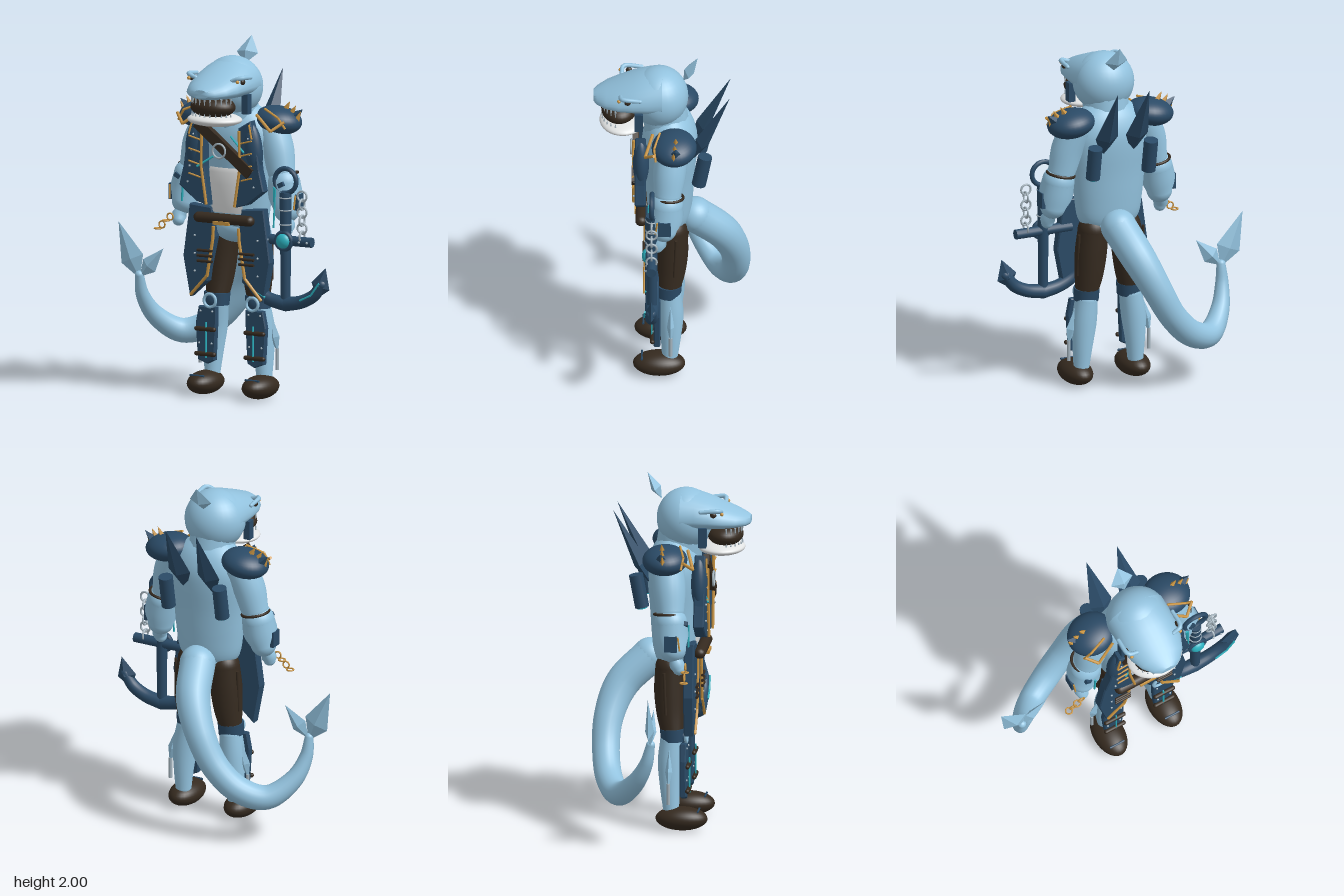
import * as THREE from 'three';
import { toCreasedNormals } from 'three/addons/utils/BufferGeometryUtils.js';

const V = (a) => new THREE.Vector3(...a);
const UP = new THREE.Vector3(0, 1, 0);

export function createModel() {
  const mat = (name, color) => Object.assign(new THREE.MeshStandardMaterial({ color }), { name });
  const skin = mat('pale blue', 0x93c3df), navy = mat('navy', 0x2a4a66), brown = mat('dark brown', 0x352a1f);
  const gold = mat('gold', 0xcb9643), white = mat('off white', 0xe2e4e4), teal = mat('teal', 0x2cb2c0);
  const silver = mat('silver', 0xa4b4be);

  const root = new THREE.Group();
  const body = new THREE.Group();
  body.name = 'body';
  body.position.x = 0.08;
  root.add(body);
  let target = body;

  const add = (name, geo, m, pos = [0, 0, 0], rot = [0, 0, 0]) => {
    const mesh = new THREE.Mesh(geo, m);
    mesh.name = name;
    mesh.position.set(...pos);
    mesh.rotation.set(...rot);
    target.add(mesh);
    return mesh;
  };
  const ball = (name, m, pos, r, rot) => add(name, new THREE.SphereGeometry(1, 32, 20).scale(...r), m, pos, rot);
  const box = (name, m, pos, size, rot) => add(name, new THREE.BoxGeometry(...size), m, pos, rot);
  const ring = (name, m, pos, R, t, rot) => add(name, new THREE.TorusGeometry(R, t, 8, 28), m, pos, rot);
  // Straight rod between two points
  const rod = (name, m, a, b, r0, r1 = r0, sides = 14) => {
    const d = V(b).sub(V(a)), mid = V(a).add(V(b)).multiplyScalar(0.5);
    const mesh = add(name, new THREE.CylinderGeometry(r1, r0, d.length(), sides), m, mid.toArray());
    mesh.quaternion.setFromUnitVectors(UP, d.normalize());
  };
  const trim = (name, m, pts, r) => pts.slice(1).forEach((p, i) => rod(name, m, pts[i], p, r, r, 6));
  // Four-sided fin, widest part way along
  const spike = (name, m, a, b, w, d, f = 0.3) => {
    const dir = V(b).sub(V(a)), L = dir.length();
    let g = new THREE.LatheGeometry([[0.001, 0], [1, f], [0.001, 1]].map((p) => new THREE.Vector2(...p)), 4);
    g = g.scale(w, L, d).toNonIndexed();
    g.computeVertexNormals();
    const mesh = add(name, g, m, a);
    mesh.quaternion.setFromUnitVectors(UP, dir.normalize());
  };
  // Tube whose radius follows its own curve
  const limb = (name, m, pts, radii, n = 24) => {
    const path = new THREE.CatmullRomCurve3(pts.map(V));
    const rad = new THREE.CatmullRomCurve3(radii.map((r) => V([r, 0, 0])), false, 'catmullrom');
    const g = new THREE.TubeGeometry(path, n, 1, 20), p = g.attributes.position, v = new THREE.Vector3();
    for (let i = 0; i < p.count; i++) {
      const u = Math.floor(i / 21) / n, c = path.getPointAt(u);
      v.fromBufferAttribute(p, i).sub(c).multiplyScalar(rad.getPoint(path.getUtoTmapping(u)).x).add(c);
      p.setXYZ(i, v.x, v.y, v.z);
    }
    add(name, g, m);
    [0, radii.length - 1].forEach((i) => ball(name + 'End', m, pts[i], [radii[i], radii[i], radii[i]]));
  };
  const plate = (name, m, pts, z, depth) => add(name, new THREE.ExtrudeGeometry(
    new THREE.Shape(pts.map((p) => new THREE.Vector2(...p))),
    { depth, bevelEnabled: true, bevelSize: 0.006, bevelThickness: 0.006, bevelSegments: 1 }), m, [0, 0, z]);

  // Torso, pelvis and belly panel
  const prof = [[0.001, 0.92], [0.13, 0.93], [0.18, 0.98], [0.2, 1.1], [0.215, 1.25], [0.235, 1.4], [0.23, 1.5], [0.18, 1.59], [0.1, 1.65]];
  add('torso', new THREE.LatheGeometry(new THREE.SplineCurve(prof.map((p) => new THREE.Vector2(...p))).getPoints(32), 36)
    .scale(1, 1, 0.65), skin, [0, 0, 0.01]);
  const bellyProf = [[0.197, 1.04], [0.215, 1.1], [0.226, 1.2], [0.228, 1.27], [0.215, 1.295]].map((p) => new THREE.Vector2(...p));
  add('belly', new THREE.LatheGeometry(bellyProf, 16, -0.5, 1).scale(1, 1, 0.65), white, [0, 0, 0.015]);
  ball('pelvis', skin, [0, 0.95, 0.01], [0.15, 0.09, 0.115]);
  rod('neck', skin, [0, 1.5, 0.02], [0, 1.68, 0.05], 0.13);

  // Belt, buckle and chest strap
  const belt = add('belt', new THREE.CapsuleGeometry(0.03, 0.32, 6, 14), brown, [0, 1.01, 0.165], [0, 0, Math.PI / 2]);
  belt.scale.z = 1.1;
  box('buckle', gold, [0, 0.99, 0.195], [0.1, 0.02, 0.02]);
  box('chestStrap', brown, [0.02, 1.415, 0.2], [0.43, 0.062, 0.035], [0, 0, -0.67]);
  ring('chestRing', silver, [0, 1.4, 0.224], 0.04, 0.006);
  trim('chestLine', teal, [[0.05, 1.48, 0.18], [0.15, 1.4, 0.208]], 0.006);
  trim('chestLine', teal, [[-0.06, 1.36, 0.18], [-0.15, 1.3, 0.21]], 0.006);

  // Head with long snout
  ball('cranium', skin, [0, 1.745, 0.07], [0.173, 0.17, 0.163]);
  const sections = [[0.05, 0.172, 1.912, 1.68], [0.13, 0.174, 1.9, 1.685], [0.21, 0.172, 1.872, 1.695],
    [0.29, 0.157, 1.838, 1.7], [0.36, 0.128, 1.808, 1.708], [0.41, 0.085, 1.785, 1.715], [0.432, 0.05, 1.772, 1.725]];
  const N = 32, pos = [], idx = [];
  sections.forEach(([z, w, top, bot], i) => {
    for (let j = 0; j < N; j++) {
      const a = (j / N) * Math.PI * 2, s = Math.sin(a), mid = bot + (top - bot) * 0.35;
      pos.push(w * Math.cos(a), mid + s * (s > 0 ? top - mid : mid - bot), z);
      const k = (j + 1) % N, o = i * N;
      if (i < sections.length - 1) idx.push(o + j, o + k, o + N + j, o + k, o + N + k, o + N + j);
      else idx.push(o + j, o + k, o + N);
    }
  });
  pos.push(0, 1.748, 0.432);
  const snout = new THREE.BufferGeometry();
  snout.setAttribute('position', new THREE.Float32BufferAttribute(pos, 3));
  snout.setIndex(idx);
  add('snout', toCreasedNormals(snout, 0.8), skin);
  ball('mouth', brown, [0, 1.66, 0.29], [0.133, 0.062, 0.1]);
  ball('lowerJaw', white, [0, 1.586, 0.27], [0.16, 0.037, 0.13]);
  for (let i = 0; i < 11; i++) {
    const a = -1.3 + i * 0.26, x = 0.128 * Math.sin(a), z = 0.28 + 0.105 * Math.cos(a);
    rod('upperTooth', silver, [x, 1.715, z], [x, 1.67, z], 0.006, 0.001, 6);
    rod('lowerTooth', silver, [x, 1.612, z], [x, 1.632, z], 0.005, 0.001, 6);
  }
  spike('headFin', skin, [0, 1.85, -0.065], [0, 2.0, -0.145], 0.068, 0.03, 0.4);

  for (const s of [-1, 1]) {
    const P = (x, y, z) => [x * s, y, z];
    const M = (pts) => pts.map(([x, ...r]) => [x * s, ...r]);
    // Brow, eye and cheek
    limb('brow', skin, [P(0.115, 1.812, 0.28), P(0.165, 1.828, 0.27), P(0.172, 1.82, 0.17)], [0.011, 0.013, 0.011], 10);
    ball('eye', brown, P(0.162, 1.803, 0.24), [0.012, 0.016, 0.018]);
    ball('eyeStud', gold, P(0.155, 1.808, 0.288), [0.01, 0.01, 0.01]);
    box('cheekGuard', navy, P(0.15, 1.67, 0.178), [0.04, 0.11, 0.045]);

    // Vest with trim and ribs
    plate('vestPanel', navy, M([[0.115, 1.53], [0.18, 1.57], [0.215, 1.45], [0.235, 1.3], [0.262, 1.19], [0.16, 1.11], [0.09, 1.09], [0.115, 1.3]]), 0.145, 0.048);
    ball('vestLapel', navy, P(0.185, 1.42, 0.165), [0.055, 0.145, 0.045], [0, 0, s * 0.12]);
    trim('vestTrim', gold, M([[0.12, 1.52, 0.208], [0.122, 1.3, 0.208], [0.09, 1.09, 0.208]]), 0.008);
    trim('vestEdge', gold, M([[0.18, 1.56, 0.204], [0.2, 1.48, 0.21]]), 0.006);
    for (let i = 0; i < 4; i++) {
      trim('vestRib', gold, M([[0.13, 1.24 + i * 0.07, 0.203], [0.2, 1.26 + i * 0.07, 0.212]]), 0.005);
      ball('vestRivet', silver, P(0.21 - i * 0.012, 1.21 + i * 0.09, 0.205), [0.006, 0.006, 0.006]);
    }
    // Coat tails
    plate('coatTail', navy, M([[0.1, 1.06], [0.23, 1.07], [0.27, 0.78], [0.23, 0.56], [0.13, 0.65], [0.12, 0.72], [0.08, 0.9]]), 0.09, 0.045);
    trim('coatTrim', gold, M([[0.08, 0.96, 0.145], [0.085, 0.88, 0.145], [0.12, 0.68, 0.145], [0.225, 0.565, 0.145]]), 0.009);
    for (let i = 0; i < 3; i++) {
      rod('thighStrap', brown, P(0.085, 0.76 + i * 0.03, 0.15), P(0.18, 0.76 + i * 0.03, 0.15), 0.008);
      ball('coatRivet', silver, P(0.2, 0.7 + i * 0.1, 0.143), [0.006, 0.006, 0.006]);
    }

    // Legs
    limb('thigh', brown, [P(0.1, 0.91, -0.005), P(0.112, 0.78, -0.005), P(0.122, 0.65, 0), P(0.132, 0.54, 0.01)], [0.085, 0.09, 0.08, 0.062]);
    rod('thighSeam', brown, P(0.195, 0.9, -0.03), P(0.2, 0.66, -0.02), 0.008);
    rod('kneeWrap', navy, P(0.132, 0.5, 0.015), P(0.13, 0.57, 0.012), 0.07, 0.073, 24);
    ring('kneeRing', skin, P(0.135, 0.53, 0.088), 0.037, 0.009);
    ball('kneeCap', navy, P(0.135, 0.53, 0.07), [0.04, 0.04, 0.02]);
    limb('calf', skin, [P(0.135, 0.5, 0.005), P(0.15, 0.38, 0), P(0.16, 0.24, 0), P(0.165, 0.12, 0.005)], [0.064, 0.07, 0.057, 0.045]);
    plate('shinGuard', navy, M([[0.1, 0.49], [0.2, 0.49], [0.218, 0.4], [0.205, 0.2], [0.15, 0.18], [0.11, 0.2], [0.1, 0.4]]), 0.064, 0.024);
    trim('shinLine', teal, M([[0.15, 0.21, 0.106], [0.15, 0.41, 0.106]]), 0.005);
    for (const y of [0.23, 0.37])
      add('shinStrap', new THREE.CapsuleGeometry(0.013, 0.11, 4, 10), brown, P(0.157, y, 0.102), [0, 0, Math.PI / 2]);
    for (const [x, y] of [[0.115, 0.47], [0.19, 0.47], [0.12, 0.29], [0.198, 0.29]]) ball('shinRivet', silver, P(x, y, 0.096), [0.006, 0.006, 0.006]);
    spike('calfFin', skin, P(0.2, 0.48, 0), P(0.25, 0.25, 0), 0.03, 0.02, 0.6);
    rod('calfPin', silver, P(0.245, 0.16, 0), P(0.245, 0.28, 0), 0.01);
    ball('boot', brown, P(0.175, 0.067, 0.065), [0.088, 0.066, 0.145]);
    trim('bootBar', navy, M([[0.13, 0.115, 0.16], [0.22, 0.115, 0.16]]), 0.006);

    // Arms
    limb('upperArm', skin, [P(0.2, 1.52, -0.01), P(0.25, 1.4, 0.005), P(0.28, 1.28, 0.015)], [0.09, 0.092, 0.077]);
    ring('elbowBand', brown, P(0.292, 1.262, 0.004), 0.076, 0.008, [Math.PI / 2, s * 0.2, 0]);
    limb('forearm', skin, [P(0.3, 1.215, 0.02), P(0.313, 1.14, 0.025), P(0.325, 1.07, 0.035)], [0.091, 0.095, 0.072]);
    limb('hand', skin, [P(0.335, 1.02, 0.045), P(0.345, 0.99, 0.06), P(0.345, 0.965, 0.07)], [0.03, 0.042, 0.034], 10);
    trim('armLine', teal, M([[0.295, 1.08, 0.118], [0.29, 1.205, 0.118]]), 0.006);
    box('armPlate', navy, P(0.4, 1.12, 0.03), [0.02, 0.09, 0.07]);
    box('armStud', navy, P(0.33, 1.22, 0.108), [0.035, 0.025, 0.02], [0, 0, s * 0.5]);
    trim('armTrim', gold, M([[0.395, 1.08, 0.08], [0.4, 1.16, 0.07]]), 0.005);

    // Shoulder guards
    ball('shoulderGuard', navy, P(0.24, 1.56, -0.02), [0.136, 0.078, 0.125], [0, 0, -s * 0.15]);
    trim('shoulderTrim', gold, M([[0.34, 1.57, 0.09], [0.28, 1.52, 0.14], [0.17, 1.6, 0.1]]), 0.009);
    trim('shoulderTrim', gold, M([[0.2, 1.63, 0.06], [0.3, 1.59, 0.09], [0.34, 1.53, 0.08]]), 0.007);
    [[0.27, 1.6], [0.31, 1.58], [0.345, 1.55]].forEach(([x, y], i) =>
      spike('shoulderSpike', gold, P(x, y, -0.03 + i * 0.005), P(x + 0.04, y + 0.07, -0.03 + i * 0.005), 0.02, 0.016));
    spike('shoulderPoint', navy, P(0.3, 1.55, -0.03), P(0.39, 1.63, -0.03), 0.04, 0.04);

    // Back canisters and tall back fins
    rod('canister', navy, P(0.17, 1.27, -0.155), P(0.17, 1.455, -0.19), 0.04, 0.04, 20);
    rod('canisterLight', teal, P(0.17, 1.262, -0.1535), P(0.17, 1.27, -0.155), 0.028, 0.028, 20);
    spike('backFin', navy, P(0.09, 1.36, -0.1), P(0.097, 1.8, -0.325), 0.068, 0.04, 0.32);
  }

  // Tail with two flukes
  target = root;
  limb('tail', skin, [[0.08, 0.95, -0.13], [0.025, 0.8, -0.28], [-0.055, 0.63, -0.345], [-0.15, 0.46, -0.35], [-0.28, 0.33, -0.315],
    [-0.42, 0.285, -0.245], [-0.535, 0.38, -0.14], [-0.577, 0.5, -0.075], [-0.583, 0.61, -0.05]],
  [0.1, 0.096, 0.084, 0.077, 0.075, 0.069, 0.053, 0.038, 0.025], 64);
  spike('leftFluke', skin, [-0.58, 0.59, -0.05], [-0.715, 0.9, -0.05], 0.075, 0.025, 0.35);
  spike('rightFluke', skin, [-0.58, 0.6, -0.05], [-0.43, 0.77, -0.05], 0.05, 0.025, 0.4);

  // Anchor carried at the left hand
  const ax = 0.435, az = 0.1;
  rod('anchorShank', navy, [ax, 0.55, az], [ax, 1.18, az], 0.027, 0.034);
  ring('anchorRing', navy, [ax, 1.245, az], 0.068, 0.014);
  rod('anchorStock', navy, [ax - 0.17, 0.91, az], [ax + 0.17, 0.91, az], 0.028);
  for (const x of [-0.15, -0.1, 0.1, 0.15]) ball('stockRivet', silver, [ax + x, 0.91, az + 0.028], [0.007, 0.007, 0.007]);
  ring('anchorHub', navy, [ax, 0.91, az + 0.02], 0.047, 0.014);
  ball('anchorGem', teal, [ax, 0.91, az + 0.028], [0.042, 0.042, 0.028]);
  for (const y of [1.0, 1.08, 1.15]) ring('shankBand', silver, [ax, y, az], 0.033, 0.004, [Math.PI / 2, 0, 0]);
  trim('shankLine', teal, [[ax - 0.06, 0.98, az + 0.03], [ax - 0.055, 1.2, az + 0.02]], 0.005);
  for (const s of [-1, 1]) {
    limb('anchorArm', navy, [[ax, 0.552, az], [ax + s * 0.1, 0.572, az], [ax + s * 0.18, 0.615, az], [ax + s * 0.23, 0.68, az]], [0.04, 0.037, 0.035, 0.03]);
    spike('anchorFluke', navy, [ax + s * 0.2, 0.6, az], [ax + s * 0.255, 0.775, az], 0.06, 0.035, 0.4);
    trim('anchorLine', teal, [[ax + s * 0.11, 0.585, az + 0.037], [ax + s * 0.18, 0.62, az + 0.036], [ax + s * 0.23, 0.69, az + 0.034]], 0.006);
  }

  // Hanging chains
  for (let i = 0; i < 6; i++)
    ring('chainLink', silver, [0.54, 0.94 + i * 0.045, az], 0.029, 0.006, [0, i % 2 ? 0 : Math.PI / 2, 0]);
  for (let i = 0; i < 4; i++)
    ring('wristChainLink', gold, [-0.295 - i * 0.026, 0.985 - i * 0.024, 0.11], 0.019, 0.0045, [i % 2 ? Math.PI / 2 : 0, 0, 0.7]);
  return root;
}
